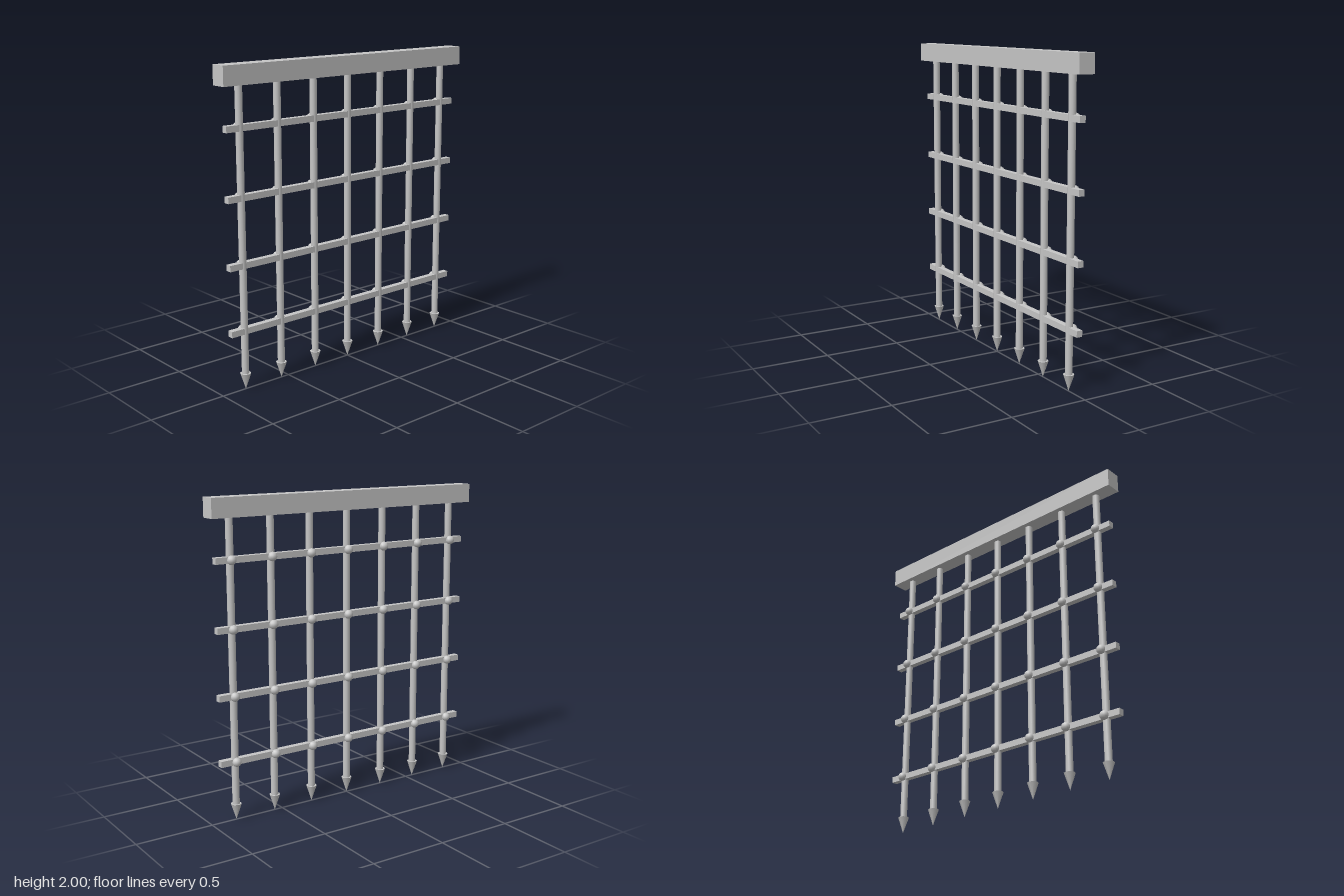
import * as THREE from 'three';

export function createModel() {
  const group = new THREE.Group();
  const iron = new THREE.MeshStandardMaterial({ color: 0xc6c6c6 });
  iron.name = 'iron grey';

  const add = (name, geometry, x, y, z) => {
    const mesh = new THREE.Mesh(geometry, iron);
    mesh.name = name;
    mesh.position.set(x, y, z);
    group.add(mesh);
  };

  // Header beam
  add('topBeam', new THREE.BoxGeometry(1.936, 0.12, 0.104), 0, 1.94, 0);

  const barGeometry = new THREE.BoxGeometry(1.87, 0.039, 0.039);
  const rodGeometry = new THREE.CylinderGeometry(0.0228, 0.0228, 1.8, 12);
  const spikeGeometry = new THREE.ConeGeometry(0.035, 0.105, 8);
  spikeGeometry.rotateX(Math.PI);
  const rivetGeometry = new THREE.SphereGeometry(0.029, 12, 8);

  // Horizontal bars
  const barHeights = [0.382, 0.797, 1.212, 1.629];
  for (const y of barHeights) add('crossBar', barGeometry, 0, y, 0);

  // Upright rods with downward spikes, and rivets on the back at each crossing
  for (let i = -3; i <= 3; i++) {
    const x = i * 0.277;
    add('uprightRod', rodGeometry, x, 1.0, 0);
    add('spike', spikeGeometry, x, 0.0525, 0);
    for (const y of barHeights) add('rivet', rivetGeometry, x, y, -0.0235);
  }
  return group;
}
